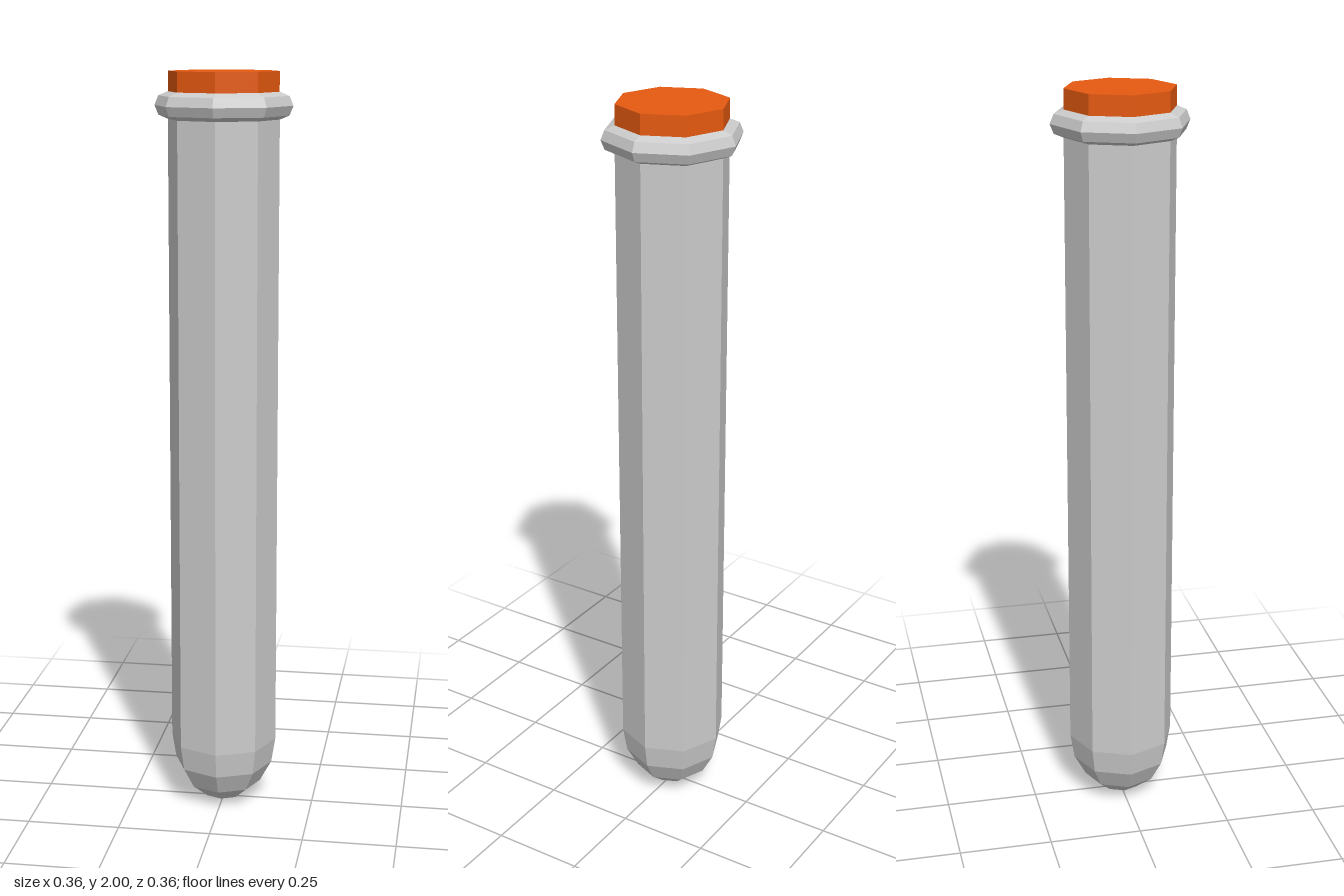
import * as THREE from 'three';

export function createModel() {
  const group = new THREE.Group();
  const SIDES = 8, R = 0.146, CAP = 0.18, RIM_Y = 1.913;
  const glass = new THREE.MeshStandardMaterial({ color: 0xcccccc, flatShading: true, side: THREE.DoubleSide });
  const orange = new THREE.MeshStandardMaterial({ color: 0xe65a10, flatShading: true });

  const add = (name, geometry, material, y = 0) => {
    const mesh = new THREE.Mesh(geometry, material);
    mesh.name = name;
    mesh.position.y = y;
    group.add(mesh);
    return mesh;
  };

  // Tube: rounded bottom in four rings, then a straight wall
  const profile = [];
  for (let i = 0; i <= 4; i++) {
    const a = (i / 4) * Math.PI / 2;
    profile.push(new THREE.Vector2(R * Math.sin(a), CAP * (1 - Math.cos(a))));
  }
  profile.push(new THREE.Vector2(R, RIM_Y));
  add('tube', new THREE.LatheGeometry(profile, SIDES), glass);

  // Rolled rim around the mouth
  const rim = new THREE.TorusGeometry(R, 0.035, 8, SIDES);
  rim.rotateX(Math.PI / 2);
  add('rim', rim, glass, RIM_Y);

  // Stopper plugging the mouth
  const bottom = RIM_Y - 0.03;
  add('stopper', new THREE.CylinderGeometry(0.145, 0.145, 2 - bottom, SIDES), orange, (2 + bottom) / 2);

  return group;
}
